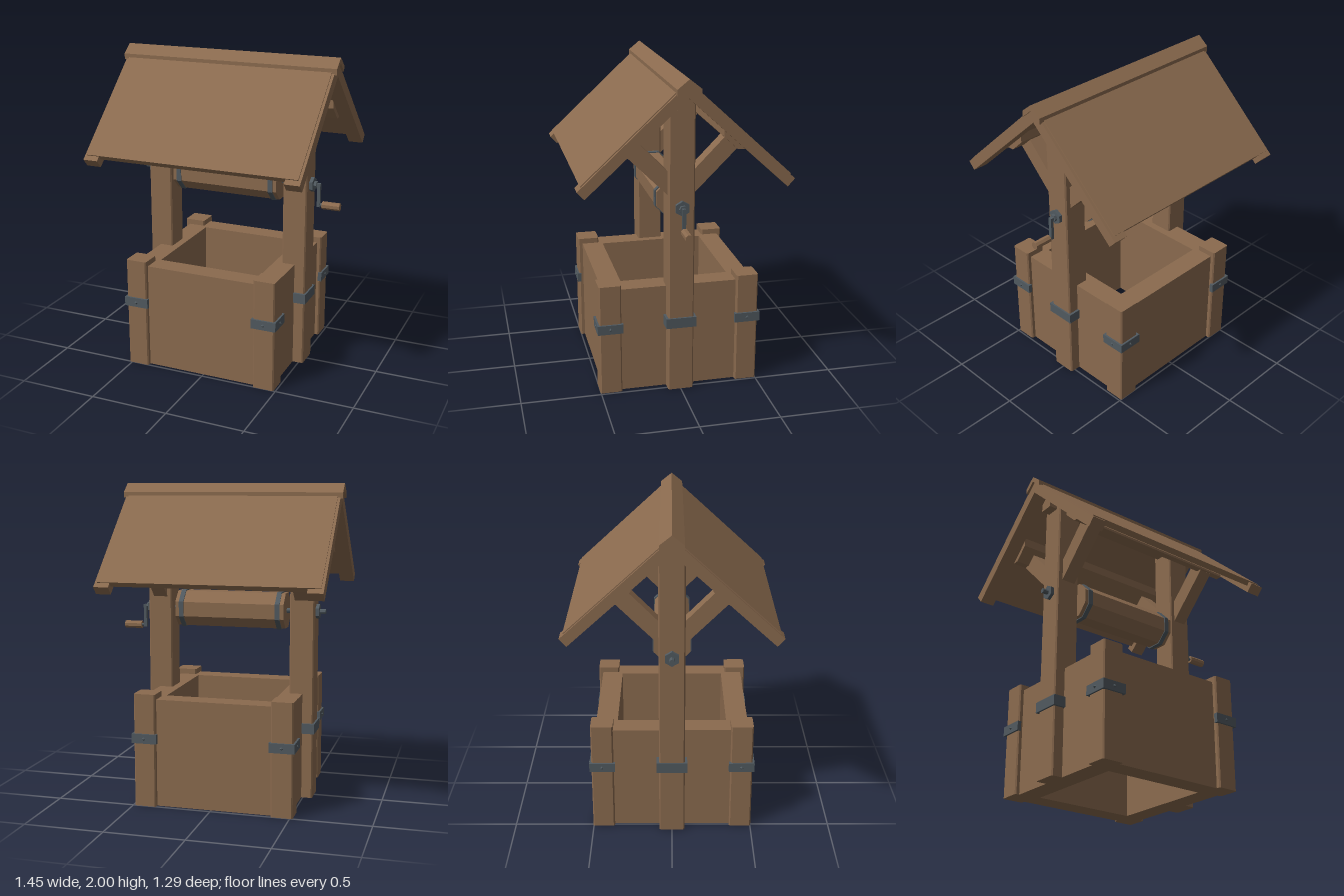
import * as THREE from 'three';

const wood = new THREE.MeshStandardMaterial({ color: 0x8a6a4e });
wood.name = 'wood';
const iron = new THREE.MeshStandardMaterial({ color: 0x50595f });
iron.name = 'iron';

export function createModel() {
  const model = new THREE.Group();
  model.name = 'well';
  const body = new THREE.Group();
  body.name = 'wellBody';
  body.position.x = -0.015; // the crank sticks out on one side
  model.add(body);

  const add = (name, geo, mat, x = 0, y = 0, z = 0) => {
    const mesh = new THREE.Mesh(geo, mat);
    mesh.name = name;
    mesh.position.set(x, y, z);
    body.add(mesh);
    return mesh;
  };
  const shapeOf = pts => new THREE.Shape(pts.map(p => new THREE.Vector2(p[0], p[1])));

  // box given by its limits on each axis
  const block = (name, mat, [x0, x1], [y0, y1], [z0, z1]) =>
    add(name, new THREE.BoxGeometry(Math.abs(x1 - x0), y1 - y0, Math.abs(z1 - z0)), mat,
      (x0 + x1) / 2, (y0 + y1) / 2, (z0 + z1) / 2);

  // profile of [z, y] points extruded along x
  const prismX = (name, pts, x0, x1) => {
    const geo = new THREE.ExtrudeGeometry(shapeOf(pts.map(([z, y]) => [-z, y])),
      { depth: x1 - x0, bevelEnabled: false });
    geo.rotateY(Math.PI / 2);
    return add(name, geo, wood, x0);
  };

  // upright timber with chamfered long edges
  const timber = (name, x, z, w, d, h) => {
    const a = w / 2, b = d / 2, c = 0.008;
    const geo = new THREE.ExtrudeGeometry(shapeOf([
      [-a + c, -b], [a - c, -b], [a, -b + c], [a, b - c],
      [a - c, b], [-a + c, b], [-a, b - c], [-a, -b + c],
    ]), { depth: h, bevelEnabled: false });
    geo.rotateX(-Math.PI / 2);
    return add(name, geo, wood, x, 0, z);
  };

  // cylinder lying along x, flat shaded
  const rod = (name, mat, r, x0, x1, y, sides, turn = 0) => {
    const geo = new THREE.CylinderGeometry(r, r, x1 - x0, sides, 1, false, turn)
      .rotateZ(Math.PI / 2).toNonIndexed();
    geo.computeVertexNormals();
    return add(name, geo, mat, (x0 + x1) / 2, y, 0);
  };

  // Open square shaft
  const square = r => [[-r, -r], [r, -r], [r, r], [-r, r]];
  const wallShape = shapeOf(square(0.475));
  wallShape.holes.push(new THREE.Path(square(0.34).map(p => new THREE.Vector2(...p))));
  const wallGeo = new THREE.ExtrudeGeometry(wallShape, { depth: 0.68, bevelEnabled: false });
  wallGeo.rotateX(-Math.PI / 2);
  add('wellWall', wallGeo, wood);

  // Corner posts with iron straps and studs
  for (const sx of [-1, 1]) for (const sz of [-1, 1]) {
    timber('cornerPost', sx * 0.434, sz * 0.434, 0.138, 0.138, 0.715);
    block('cornerStrap', iron, [sx * 0.355, sx * 0.515], [0.405, 0.465], [sz * 0.49, sz * 0.515]);
    block('cornerStrap', iron, [sx * 0.49, sx * 0.515], [0.405, 0.465], [sz * 0.355, sz * 0.515]);
    const stud = () => new THREE.ConeGeometry(0.013, 0.01, 4).toNonIndexed();
    const front = stud().rotateX(sz * Math.PI / 2);
    const side = stud().rotateZ(-sx * Math.PI / 2);
    front.computeVertexNormals();
    side.computeVertexNormals();
    add('frontStud', front, iron, sx * 0.435, 0.435, sz * 0.519);
    add('sideStud', side, iron, sx * 0.519, 0.435, sz * 0.435);
  }

  // Roof posts, straps and braces
  for (const s of [-1, 1]) {
    timber('roofPost', s * 0.467, 0, 0.156, 0.16, 1.9);
    block('postStrap', iron, [s * 0.47, s * 0.556], [0.425, 0.49], [-0.095, 0.095]);
    for (const t of [-1, 1]) {
      prismX('brace', [[0.05, 1.245], [0.05, 1.39], [0.275, 1.62], [0.355, 1.55]]
        .map(([z, y]) => [z * t, y]), s * 0.465 - 0.045, s * 0.465 + 0.045);
    }
  }

  // Roof: beams, rafters, panels and ridge cap
  block('ridgeBeam', wood, [-0.6, 0.6], [1.8, 1.9], [-0.045, 0.045]);
  for (const t of [-1, 1]) {
    prismX('purlin', [[0.235, 1.69], [0.235, 1.635], [0.32, 1.555], [0.362, 1.555], [0.362, 1.57]]
      .map(([z, y]) => [z * t, y]), -0.6, 0.6);
  }
  // top ridge, eave top, eave bottom, under ridge, then mirrored
  const gable = (top, out, low, under) =>
    [[0, top], out, low, [0, under], [-low[0], low[1]], [-out[0], out[1]]];
  const rafter = gable(1.978, [0.643, 1.385], [0.6, 1.338], 1.888);
  prismX('rafters', rafter, -0.695, -0.6);
  prismX('rafters', rafter, 0.6, 0.695);
  prismX('roofPanels', gable(1.986, [0.622, 1.413], [0.6, 1.386], 1.938), -0.678, 0.678);
  prismX('ridgeCap', gable(2.0, [0.071, 1.943], [0.071, 1.906], 1.965), -0.71, 0.71);

  // Windlass
  const axleY = 1.2, flat = Math.PI / 8;
  rod('drum', wood, 0.121, -0.355, 0.355, axleY, 8, flat);
  for (const s of [-1, 1]) {
    rod('drumBand', iron, 0.128, s * 0.315 - 0.015, s * 0.315 + 0.015, axleY, 8, flat);
    rod('axleCollar', iron, 0.047, s * 0.555 - 0.012, s * 0.555 + 0.012, axleY, 6, Math.PI / 2);
  }
  rod('axle', iron, 0.016, -0.605, 0.585, axleY, 8);

  // Crank
  rod('crankHub', iron, 0.024, 0.565, 0.585, axleY, 6);
  block('crankArm', iron, [0.588, 0.608], [1.06, 1.21], [-0.011, 0.011]);
  block('crankElbow', iron, [0.58, 0.59], [1.19, 1.21], [-0.011, 0.011]);
  rod('crankPin', iron, 0.011, 0.6, 0.63, 1.073, 6);
  rod('crankHandle', wood, 0.025, 0.622, 0.737, 1.073, 8, flat);

  return model;
}
